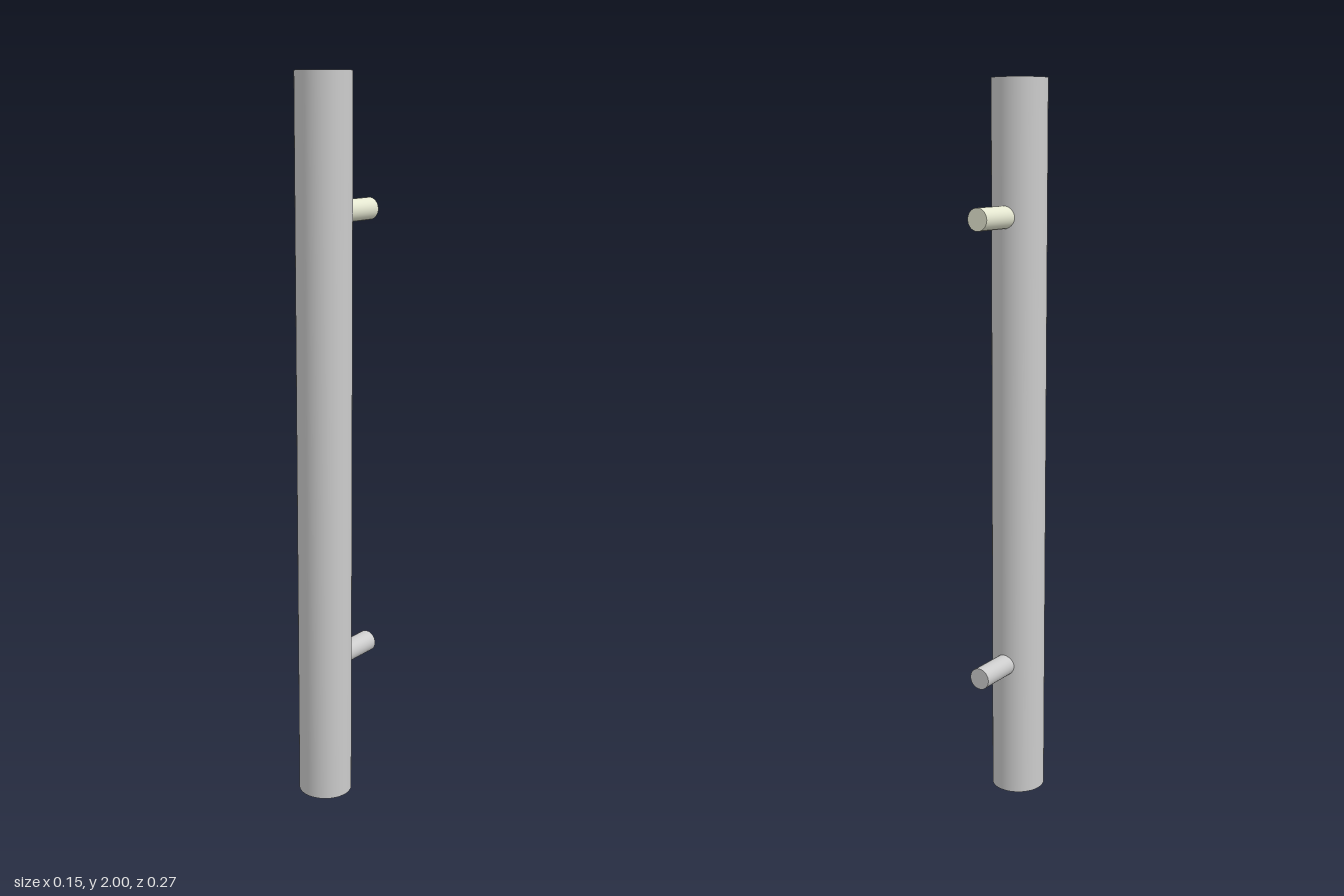
import * as THREE from 'three';

const BAR_RADIUS = 0.075;
const BAR_Z = 0.061;
const POST_RADIUS = 0.03;
const POST_BACK = -0.136;
const POST_FRONT = 0.0; // slightly inside the bar

export function createModel() {
  const model = new THREE.Group();
  model.name = 'pullHandle';

  const grey = new THREE.MeshStandardMaterial({ color: 0xcccccc });
  const cream = new THREE.MeshStandardMaterial({ color: 0xe4e6d0 });

  // Long upright grip
  const bar = new THREE.Mesh(new THREE.CylinderGeometry(BAR_RADIUS, BAR_RADIUS, 2, 64), grey);
  bar.name = 'gripBar';
  bar.position.set(0, 1, BAR_Z);
  model.add(bar);

  // Standoff posts reaching back from the grip
  const length = POST_FRONT - POST_BACK;
  const postGeometry = new THREE.CylinderGeometry(POST_RADIUS, POST_RADIUS, length, 40);
  postGeometry.rotateX(Math.PI / 2);

  const addPost = (name, y, material) => {
    const post = new THREE.Mesh(postGeometry, material);
    post.name = name;
    post.position.set(0, y, (POST_FRONT + POST_BACK) / 2);
    model.add(post);
  };
  addPost('upperPost', 1.643, cream);
  addPost('lowerPost', 0.388, grey);

  return model;
}
